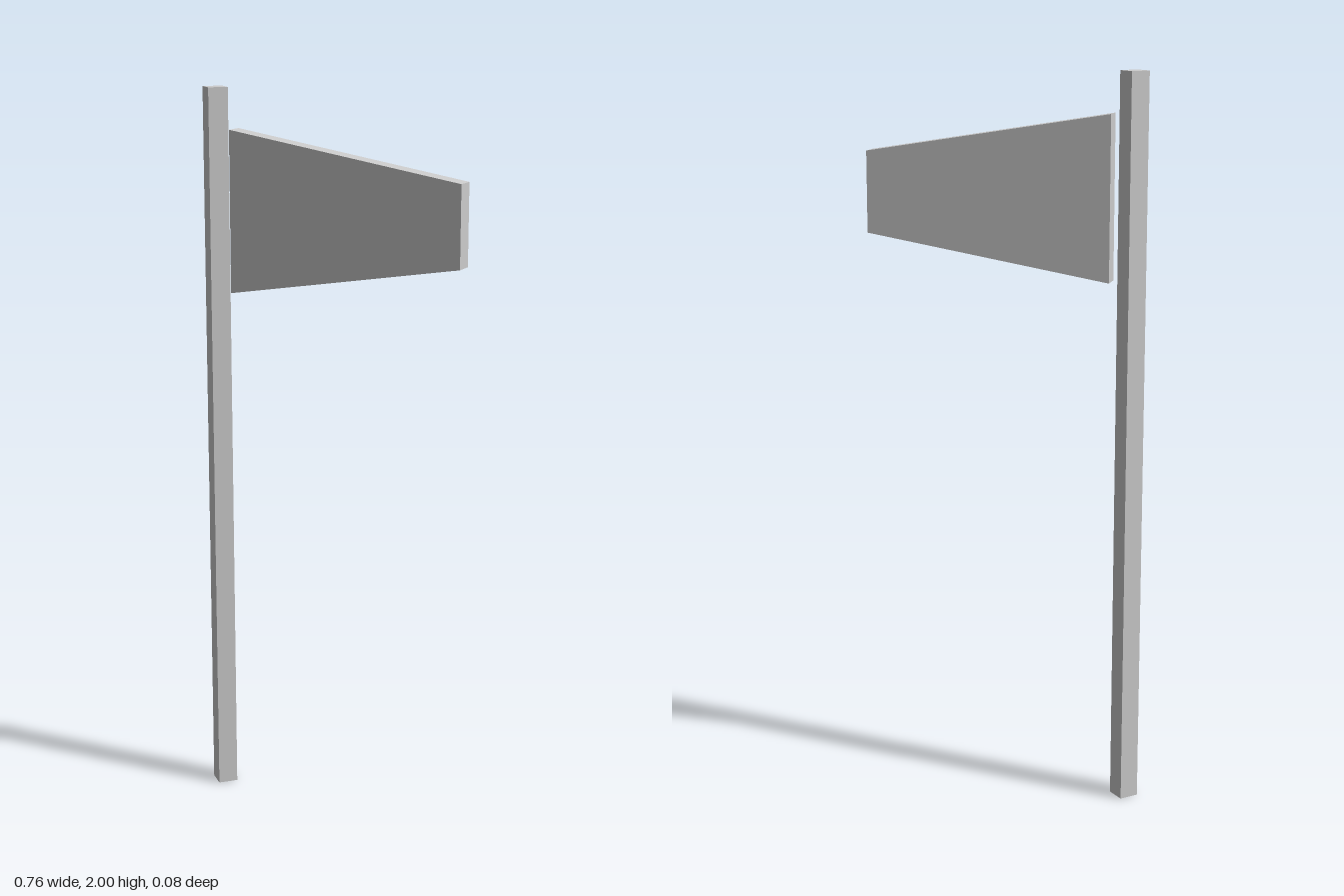
import * as THREE from 'three';

export function createModel() {
  const group = new THREE.Group();
  const material = new THREE.MeshStandardMaterial({ color: 0xcccccc, flatShading: true });

  // Square post, turned so that an edge faces the front
  const post = new THREE.Mesh(new THREE.CylinderGeometry(0.0385, 0.0385, 2, 4), material);
  post.name = 'post';
  post.position.set(-0.342, 1, 0);
  group.add(post);

  // Tapered board, set slightly clear of the post
  const outline = new THREE.Shape([
    new THREE.Vector2(-0.287, 1.45),
    new THREE.Vector2(0.38, 1.56),
    new THREE.Vector2(0.38, 1.78),
    new THREE.Vector2(-0.287, 1.89),
  ]);
  const thickness = 0.055;
  const boardGeometry = new THREE.ExtrudeGeometry(outline, { depth: thickness, bevelEnabled: false });
  boardGeometry.translate(0, 0, -thickness / 2);
  const board = new THREE.Mesh(boardGeometry, material);
  board.name = 'taperedBoard';
  group.add(board);

  return group;
}
